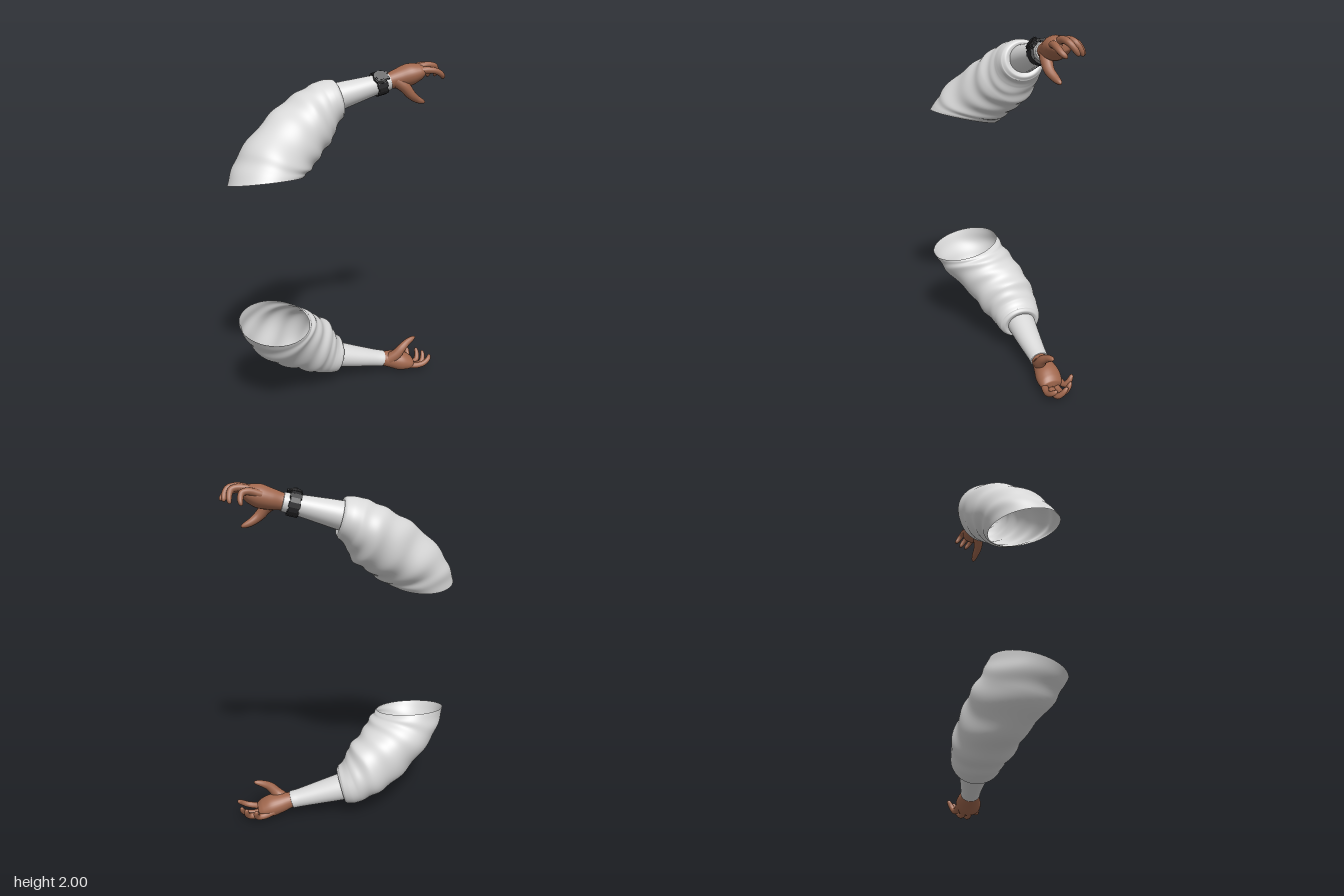
import * as THREE from 'three';

const V = (x, y, z) => new THREE.Vector3(x, y, z);
const SIDE = V(0.6, 0, 0.8); // horizontal reference across the arm

// Smooth surface from point(t, a): t runs along the part, a around it
function loft(point, rows, cols, mirror) {
  const pos = [], idx = [];
  for (let i = 0; i <= rows; i++) {
    for (let j = 0; j < cols; j++) {
      const p = point(i / rows, (j / cols) * Math.PI * 2);
      pos.push(p.x, mirror ? 2 - p.y : p.y, p.z);
    }
  }
  for (let i = 0; i < rows; i++) {
    for (let j = 0; j < cols; j++) {
      const a = i * cols + j, b = i * cols + (j + 1) % cols, c = a + cols, d = b + cols;
      if (mirror) idx.push(a, c, b, b, c, d);
      else idx.push(a, b, c, b, d, c);
    }
  }
  const g = new THREE.BufferGeometry();
  g.setAttribute('position', new THREE.Float32BufferAttribute(pos, 3));
  g.setIndex(idx);
  g.computeVertexNormals();
  return g;
}

// Elliptical sections; key = [x, y, z, radiusAcross, radiusUp], normals optional
function sections(keys, normals, shape = () => 1) {
  const centre = new THREE.CatmullRomCurve3(keys.map(k => V(k[0], k[1], k[2])));
  const radii = new THREE.CatmullRomCurve3(keys.map(k => V(k[3], k[4], 0)));
  const axes = normals && new THREE.CatmullRomCurve3(normals.map(n => V(...n).normalize()));
  return (t, a) => {
    const n = axes ? axes.getPoint(t).normalize() : centre.getTangent(t);
    const u = SIDE.clone().addScaledVector(n, -n.dot(SIDE)).normalize();
    const v = n.clone().cross(u);
    const r = radii.getPoint(t), k = shape(t, a);
    return centre.getPoint(t)
      .addScaledVector(u, r.x * k * Math.cos(a))
      .addScaledVector(v, r.y * k * Math.sin(a));
  };
}

// Tapered finger with a rounded tip
function digit(points, r0, r1, mirror) {
  const keys = points.map((p, i) => {
    const r = r0 + (r1 - r0) * i / (points.length - 1);
    return [...p, r, r];
  });
  const f = sections(keys, null, t => Math.sqrt(Math.max(0, 1 - Math.pow(t, 14))));
  return loft((u, a) => f(1 - (1 - u) * (1 - u), a), 22, 14, mirror);
}

const FOREARM_DIR = [0.84, 0.25, -0.48];

// The lower arm's sleeve opens slightly further inward
const sleeveKeys = shift => [
  [-0.335 + shift, 1.422, 0.285, 0.21, 0.205],
  [-0.305 + shift * 0.6, 1.515, 0.208, 0.207, 0.2],
  [-0.233, 1.625, 0.083, 0.183, 0.182],
  [-0.155, 1.712, -0.022, 0.172, 0.17],
  [-0.097, 1.777, -0.083, 0.147, 0.14],
  [-0.062, 1.803, -0.108, 0.139, 0.124],
  [-0.035, 1.813, -0.122, 0.127, 0.113],
  [-0.024, 1.818, -0.13, 0.105, 0.095],
  [-0.03, 1.818, -0.128, 0.082, 0.073],
];
const SLEEVE_AXES = [
  [-0.15, 1, -0.18], [0.15, 0.9, -0.35], [0.4, 0.7, -0.55], [0.6, 0.55, -0.55],
  [0.75, 0.4, -0.52], [0.82, 0.29, -0.49], FOREARM_DIR, FOREARM_DIR, FOREARM_DIR,
];
const FOREARM = [
  [-0.15, 1.785, -0.065, 0.09, 0.082],
  [-0.05, 1.818, -0.122, 0.088, 0.08],
  [0.10, 1.862, -0.202, 0.071, 0.064],
  [0.20, 1.89, -0.257, 0.058, 0.053],
  [0.238, 1.9, -0.277, 0.056, 0.051],
  [0.24, 1.901, -0.278, 0.042, 0.038],
];
const PALM = [
  [0.2, 1.89, -0.257, 0.044, 0.042],
  [0.245, 1.902, -0.28, 0.048, 0.047],
  [0.29, 1.915, -0.308, 0.061, 0.056],
  [0.345, 1.932, -0.337, 0.073, 0.063],
  [0.39, 1.946, -0.36, 0.07, 0.05],
  [0.415, 1.954, -0.372, 0.056, 0.032],
  [0.422, 1.956, -0.375, 0.002, 0.002],
];
const PALM_AXIS = PALM.map(() => [0.82, 0.24, -0.5]);
const FINGERS = {
  littleFinger: [[0.31, 1.945, -0.375], [0.355, 1.965, -0.415], [0.38, 1.96, -0.445], [0.379, 1.93, -0.468], [0.366, 1.9, -0.48]],
  ringFinger: [[0.35, 1.96, -0.365], [0.41, 1.98, -0.405], [0.446, 1.973, -0.438], [0.446, 1.94, -0.465], [0.435, 1.905, -0.48]],
  middleFinger: [[0.38, 1.965, -0.345], [0.44, 1.983, -0.382], [0.482, 1.975, -0.412], [0.489, 1.945, -0.442], [0.48, 1.912, -0.464]],
  indexFinger: [[0.385, 1.95, -0.322], [0.445, 1.96, -0.335], [0.5, 1.953, -0.358], [0.53, 1.93, -0.385], [0.536, 1.908, -0.412]],
};
const THUMB = [[0.285, 1.903, -0.285], [0.33, 1.868, -0.292], [0.365, 1.823, -0.31], [0.397, 1.792, -0.343], [0.438, 1.77, -0.378]];

// Soft cloth folds that wrap unevenly round the sleeve, leaving the cuff plain
function folds(t, a) {
  const fade = THREE.MathUtils.smoothstep(t, 0, 0.1) * (1 - THREE.MathUtils.smoothstep(t, 0.42, 0.56));
  return 1 + fade * (0.024 * Math.sin(54 * t + 1.6 * Math.sin(a + 1) + 0.6 * Math.sin(3 * a))
    + 0.016 * Math.sin(3 * a + 24 * t));
}

function buildArm(name, mirror, mats) {
  const arm = new THREE.Group();
  arm.name = name;
  const add = (partName, geometry, material, parent = arm) => {
    const m = new THREE.Mesh(geometry, material);
    m.name = partName;
    parent.add(m);
  };
  const sleeve = sections(sleeveKeys(mirror ? 0.025 : 0), SLEEVE_AXES, folds);
  add('sleeve', loft(sleeve, 110, 72, mirror), mats.cloth);
  add('forearmSleeve', loft(sections(FOREARM, FOREARM.map(() => FOREARM_DIR)), 30, 40, mirror), mats.cloth);

  const hand = new THREE.Group();
  hand.name = 'hand';
  arm.add(hand);
  add('palm', loft(sections(PALM, PALM_AXIS), 36, 32, mirror), mats.skin, hand);
  for (const [finger, path] of Object.entries(FINGERS)) {
    add(finger, digit(path, 0.022, 0.0135, mirror), mats.skin, hand);
  }
  add('thumb', digit(THUMB, 0.04, 0.015, mirror), mats.skin, hand);
  return arm;
}

// Chunky link bracelet with a faceted case, local z along the forearm
function buildWatch(mats) {
  const watch = new THREE.Group();
  watch.name = 'wristwatch';
  const z = V(...FOREARM_DIR).normalize();
  const x = SIDE.clone().addScaledVector(z, -z.dot(SIDE)).normalize();
  const y = z.clone().cross(x);
  watch.applyMatrix4(new THREE.Matrix4().makeBasis(x, y, z).setPosition(0.187, 1.889, -0.25));

  const count = 16;
  for (let i = 0; i < count; i++) {
    const a = (i / count) * Math.PI * 2;
    const link = new THREE.Mesh(new THREE.BoxGeometry(0.015, 0.027, i % 2 ? 0.052 : 0.062), mats.strap);
    link.name = 'strapLink';
    link.position.set(0.065 * Math.cos(a), 0.06 * Math.sin(a), 0);
    link.rotation.z = a;
    watch.add(link);
  }

  // Case faces outward from the upper front of the wrist
  const head = new THREE.Group();
  head.name = 'watchCase';
  head.rotation.z = 0.75 * Math.sign(y.y);
  watch.add(head);
  const disc = (name, r, h, out, mat) => {
    const m = new THREE.Mesh(new THREE.CylinderGeometry(r, r, h, 8).toNonIndexed(), mat);
    m.geometry.computeVertexNormals();
    m.name = name;
    m.rotation.z = -Math.PI / 2;
    m.position.x = out;
    head.add(m);
  };
  disc('caseBody', 0.042, 0.02, 0.064, mats.strap);
  disc('bezel', 0.036, 0.008, 0.076, mats.strap);
  disc('dial', 0.028, 0.003, 0.0805, mats.dial);
  for (const s of [-1, 1]) {
    const button = new THREE.Mesh(new THREE.BoxGeometry(0.012, 0.016, 0.012), mats.strap);
    button.name = 'caseButton';
    button.position.set(0.064, s * 0.018, 0.042);
    head.add(button);
  }
  return watch;
}

export function createModel() {
  const mat = (name, color, side = THREE.FrontSide) => {
    const m = new THREE.MeshStandardMaterial({ color, side });
    m.name = name;
    return m;
  };
  const mats = {
    cloth: mat('white cloth', 0xd8d8d8, THREE.DoubleSide),
    skin: mat('brown skin', 0xa0674d),
    strap: mat('black strap', 0x29292b),
    dial: mat('dark dial', 0x1c1c1e),
  };
  const model = new THREE.Group();
  model.name = 'pairOfArms';
  const upper = buildArm('upperArm', false, mats);
  upper.add(buildWatch(mats));
  model.add(upper, buildArm('lowerArm', true, mats));
  return model;
}
